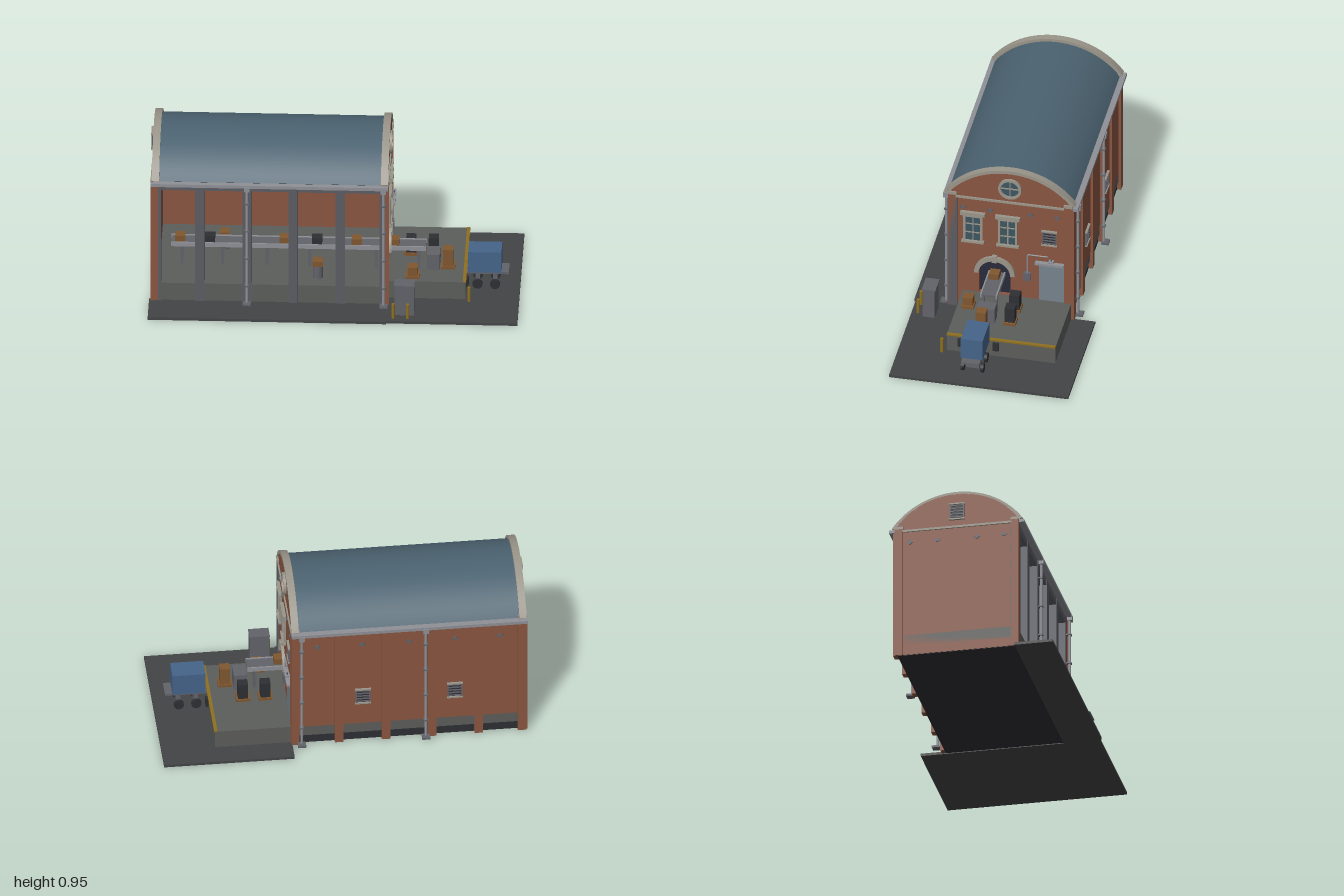
import * as THREE from 'three';

const C = {
  brick: 0x8a5540, stone: 0x9a958a, slate: 0x4b6270, metal: 0x8e9096, steel: 0x62636a, dark: 0x2e2f34,
  ground: 0x434446, plinth: 0x5c5e5b, glass: 0x3c5560, blue: 0x45648a, yellow: 0x8f7020, crate: 0x80572f,
  pale: 0x76828c, navy: 0x2a2b3a, column: 0x5b5d64,
};
const mats = {};
const mat = (c) => (mats[c] ??= new THREE.MeshStandardMaterial({ color: C[c] }));

function add(parent, name, geo, color, x = 0, y = 0, z = 0) {
  const m = new THREE.Mesh(geo, mat(color));
  m.name = name;
  m.position.set(x, y, z);
  parent.add(m);
  return m;
}
// Box given by its limits on each axis
function box(parent, name, color, x0, x1, y0, y1, z0, z1) {
  return add(parent, name, new THREE.BoxGeometry(x1 - x0, y1 - y0, z1 - z0), color, (x0 + x1) / 2, (y0 + y1) / 2, (z0 + z1) / 2);
}
const cyl = (parent, name, color, r, h, x, y, z, n = 16) => add(parent, name, new THREE.CylinderGeometry(r, r, h, n), color, x, y, z);
// Extrude a shape drawn in (-z, y) along x
function ext(parent, name, color, shape, x0, x1) {
  const g = new THREE.ExtrudeGeometry(shape, { depth: x1 - x0, bevelEnabled: false, curveSegments: 32 });
  g.rotateY(Math.PI / 2);
  return add(parent, name, g, color, x0);
}
// Curved band from angle a to PI - a
function band(parent, name, color, z, y, r0, r1, a, x0, x1) {
  const s = new THREE.Shape();
  s.absarc(-z, y, r1, a, Math.PI - a, false);
  s.absarc(-z, y, r0, Math.PI - a, a, true);
  s.closePath();
  return ext(parent, name, color, s, x0, x1);
}
function archPath(P, z, y0, y1, r) {
  const p = new P();
  p.moveTo(-z - r, y0);
  p.lineTo(-z + r, y0);
  p.absarc(-z, y1, r, 0, Math.PI, false);
  p.closePath();
  return p;
}
// Group for wall fittings, built facing +z
function fitting(parent, name, x, y, z, turn) {
  const g = new THREE.Group();
  g.name = name;
  g.position.set(x, y, z);
  g.rotation.y = turn;
  parent.add(g);
  return g;
}
function vent(parent, x, y, z, turn) {
  const g = fitting(parent, 'louvreVent', x, y, z, turn);
  box(g, 'ventBack', 'dark', -0.037, 0.037, -0.045, 0.045, -0.005, 0.004);
  for (let i = 0; i < 5; i++) box(g, 'ventSlat', 'steel', -0.035, 0.035, -0.036 + i * 0.017, -0.03 + i * 0.017, 0, 0.009);
  for (const s of [-1, 1]) {
    box(g, 'ventLedge', 'stone', -0.043, 0.043, s * 0.045 - 0.004, s * 0.045 + 0.004, 0, 0.013);
    box(g, 'ventSide', 'steel', s * 0.037 - 0.003, s * 0.037 + 0.003, -0.045, 0.045, 0, 0.01);
  }
}
function anchor(parent, x, y, z, turn) {
  const g = fitting(parent, 'wallAnchor', x, y, z, turn);
  cyl(g, 'anchorDisc', 'steel', 0.012, 0.012, 0, 0, 0, 12).rotation.x = Math.PI / 2;
  const d = cyl(g, 'anchorPlate', 'steel', 0.018, 0.008, 0, 0, 0, 4);
  d.rotation.x = Math.PI / 2;
  d.scale.z = 0.6;
}
function sashWindow(parent, y, z) {
  const g = fitting(parent, 'sashWindow', 0.29, y, z, Math.PI / 2);
  box(g, 'glass', 'glass', -0.047, 0.047, -0.082, 0.082, -0.004, 0.004);
  for (const s of [-1, 1]) box(g, 'jamb', 'stone', s * 0.047 - 0.006, s * 0.047 + 0.006, -0.085, 0.085, 0, 0.012);
  box(g, 'mullion', 'stone', -0.003, 0.003, -0.082, 0.082, 0, 0.008);
  for (const t of [-0.028, 0.028]) box(g, 'glazingBar', 'stone', -0.045, 0.045, t - 0.003, t + 0.003, 0, 0.008);
  box(g, 'topRail', 'stone', -0.056, 0.056, 0.076, 0.09, 0, 0.014);
  box(g, 'header', 'stone', -0.068, 0.068, 0.088, 0.108, 0, 0.02);
  box(g, 'sill', 'stone', -0.062, 0.062, -0.092, -0.08, 0, 0.02);
}
function downpipe(parent, x, z, side) {
  const g = fitting(parent, 'downpipe', x, 0, z, side > 0 ? 0 : Math.PI);
  cyl(g, 'pipe', 'metal', 0.008, 0.72, 0, 0.38, 0);
  box(g, 'hopper', 'metal', -0.015, 0.015, 0.715, 0.745, -0.012, 0.016);
  for (const y of [0.125, 0.295, 0.465, 0.635]) box(g, 'clamp', 'steel', -0.012, 0.012, y - 0.004, y + 0.004, -0.016, 0.01);
  box(g, 'drain', 'steel', -0.022, 0.022, 0.012, 0.024, -0.01, 0.03);
}
function crate(parent, x, y, z, w, h, color = 'crate') {
  box(parent, 'crate', color, x - w / 2, x + w / 2, y, y + h, z - w / 2, z + w / 2);
}

export function createModel() {
  const root = new THREE.Group();
  root.name = 'warehouse';
  const ZC = -0.03, YC = 0.507, colX = [-0.96, -0.725, -0.47, -0.22, 0.035, 0.273];

  // Ground, plinth and floor
  box(root, 'yard', 'ground', 0.29, 1, 0, 0.015, -0.5, 0.49);
  box(root, 'apron', 'ground', -1, 0.29, 0, 0.015, 0.29, 0.5);
  box(root, 'base', 'dark', -0.982, 0.288, 0.003, 0.06, -0.36, 0.295);
  box(root, 'floor', 'plinth', -0.985, 0.288, 0.055, 0.12, -0.368, 0.3);
  box(root, 'frontPlinth', 'plinth', -0.985, 0.288, 0.015, 0.12, 0.29, 0.302);

  // Gable walls, copings and trims
  const wallShape = () => {
    const s = new THREE.Shape(), a = Math.acos(0.34 / 0.43);
    s.moveTo(-0.31, 0.005);
    s.lineTo(0.37, 0.005);
    s.absarc(-ZC, YC, 0.43, a, Math.PI - a, false);
    s.closePath();
    return s;
  };
  const front = wallShape();
  front.holes.push(archPath(THREE.Path, 0.055, 0.12, 0.255, 0.087));
  ext(root, 'dockGable', 'brick', front, 0.26, 0.29);
  ext(root, 'rearGable', 'brick', wallShape(), -0.985, -0.95);
  for (const [xa, xb, out, turn] of [[0.255, 0.295, 0.29, Math.PI / 2], [-0.985, -0.945, -0.985, -Math.PI / 2]]) {
    band(root, 'coping', 'stone', ZC, YC, 0.424, 0.443, Math.acos(0.36 / 0.443), xa, xb);
    box(root, 'beltCourse', 'stone', out - 0.008, out + 0.008, 0.735, 0.747, -0.33, 0.272);
    for (const z of [0.29, -0.352]) {
      box(root, 'cornerPier', 'brick', out - 0.006, out + 0.008, 0.005, 0.755, z - 0.022, z + 0.022);
      box(root, 'pierCap', 'stone', xa - 0.005, xb + 0.005, 0.752, 0.77, z - 0.025, z + 0.025);
    }
    for (const z of [0.23, 0.08, -0.14, -0.29]) anchor(root, out, 0.673, z, turn);
  }
  vent(root, -0.987, 0.83, ZC, -Math.PI / 2);

  // Barrel roof
  band(root, 'roof', 'slate', ZC, YC, 0.413, 0.426, Math.acos(0.345 / 0.426), -0.955, 0.265);

  // Back wall with piers, vents and anchors
  box(root, 'backWall', 'brick', -0.985, 0.288, 0.115, 0.75, -0.37, -0.345);
  colX.forEach((x, i) => {
    box(root, 'backPier', 'brick', x - 0.023, x + 0.023, 0.005, 0.735, -0.384, -0.36);
    box(root, 'frontColumn', 'column', x - 0.025, x + 0.025, 0.015, 0.735, 0.262, 0.31);
    if (i < 5) anchor(root, (x + colX[i + 1]) / 2, 0.645, -0.371, Math.PI);
  });
  for (const x of [-0.595, -0.095]) vent(root, x, 0.3, -0.371, Math.PI);

  // Eaves beam, gutters and downpipes
  box(root, 'eavesBeam', 'column', -0.985, 0.29, 0.7, 0.755, 0.265, 0.308);
  box(root, 'frontGutter', 'metal', -0.99, 0.295, 0.735, 0.753, 0.305, 0.34);
  box(root, 'backGutter', 'metal', -0.99, 0.295, 0.735, 0.753, -0.405, -0.37);
  for (const x of [-0.47, 0.27]) downpipe(root, x, 0.327, 1);
  for (const x of [-0.435, 0.24]) downpipe(root, x, -0.394, -1);

  // Dock gable windows and vent
  sashWindow(root, 0.543, 0.175);
  sashWindow(root, 0.543, -0.018);
  vent(root, 0.29, 0.535, -0.247, Math.PI / 2);
  band(root, 'roundFrame', 'stone', ZC, 0.834, 0.05, 0.064, -Math.PI / 2, 0.285, 0.305);
  const pane = cyl(root, 'roundGlass', 'glass', 0.052, 0.012, 0.288, 0.834, ZC, 32);
  pane.rotation.z = Math.PI / 2;
  box(root, 'roundBar', 'stone', 0.288, 0.299, 0.831, 0.837, -0.08, 0.02);
  box(root, 'roundBar', 'stone', 0.288, 0.299, 0.784, 0.884, -0.033, -0.027);

  // Arched doorway
  ext(root, 'doorwayDark', 'navy', archPath(THREE.Shape, 0.055, 0.12, 0.255, 0.088), 0.262, 0.268);
  band(root, 'doorArch', 'stone', 0.055, 0.255, 0.087, 0.113, 0, 0.28, 0.306);
  box(root, 'keystone', 'stone', 0.285, 0.312, 0.337, 0.378, 0.042, 0.068);

  // Side door, lamp, conduit and switch box
  box(root, 'shutterDoor', 'pale', 0.285, 0.297, 0.12, 0.362, -0.33, -0.19);
  box(root, 'doorHood', 'metal', 0.285, 0.315, 0.36, 0.374, -0.33, -0.17);
  box(root, 'lamp', 'metal', 0.285, 0.318, 0.382, 0.392, -0.273, -0.245);
  cyl(root, 'lampStem', 'steel', 0.004, 0.02, 0.305, 0.395, -0.259, 8);
  const V = (y, z) => new THREE.Vector3(0.3, y, z);
  const conduit = new THREE.CurvePath();
  conduit.add(new THREE.LineCurve3(V(0.29, -0.127), V(0.403, -0.127)));
  conduit.add(new THREE.QuadraticBezierCurve3(V(0.403, -0.127), V(0.413, -0.127), V(0.413, -0.137)));
  conduit.add(new THREE.LineCurve3(V(0.413, -0.137), V(0.413, -0.24)));
  add(root, 'conduit', new THREE.TubeGeometry(conduit, 60, 0.004, 8), 'metal');
  box(root, 'switchBox', 'steel', 0.288, 0.312, 0.245, 0.293, -0.146, -0.106);

  // Loading dock
  box(root, 'dock', 'plinth', 0.288, 0.71, 0.012, 0.118, -0.368, 0.232);
  box(root, 'dockEdge', 'yellow', 0.695, 0.713, 0.113, 0.122, -0.368, 0.232);
  for (const z of [0.153, -0.04]) box(root, 'dockBumper', 'dark', 0.708, 0.724, 0.055, 0.105, z - 0.017, z + 0.017);
  for (const [x, z] of [[0.73, 0.255], [0.327, 0.455], [0.405, 0.455]]) cyl(root, 'bollard', 'yellow', 0.009, 0.09, x, 0.057, z);
  box(root, 'utilityCabinet', 'steel', 0.333, 0.438, 0.01, 0.193, 0.356, 0.424);
  box(root, 'cabinetTop', 'steel', 0.33, 0.441, 0.192, 0.198, 0.352, 0.428);

  // Conveyor running out through the arch
  box(root, 'conveyorBelt', 'steel', -0.885, 0.49, 0.238, 0.25, 0.008, 0.087);
  for (const z of [0.004, 0.09]) box(root, 'conveyorRail', 'metal', -0.89, 0.492, 0.23, 0.255, z - 0.004, z + 0.004);
  for (const x of [-0.83, -0.61, -0.37, -0.14, 0.22, 0.45])
    for (const z of [0.012, 0.082]) box(root, 'conveyorLeg', 'steel', x - 0.008, x + 0.008, 0.118, 0.235, z - 0.006, z + 0.006);
  for (const [x, c] of [[-0.84, 'crate'], [-0.68, 'dark'], [-0.275, 'crate'], [-0.1, 'dark'], [0.115, 'crate'], [0.317, 'crate']])
    crate(root, x, 0.25, 0.05, 0.055, 0.035, c);

  // Drums with crates beside the conveyor
  for (const [x, z] of [[-0.605, -0.1], [-0.09, 0.2]]) {
    cyl(root, 'drum', 'steel', 0.028, 0.075, x, 0.157, z, 20);
    crate(root, x, 0.194, z, 0.055, 0.032);
  }

  // Goods on the dock
  for (const [x, z, w, h, c] of [[0.405, -0.082, 0.055, 0.09, 'dark'], [0.527, -0.082, 0.055, 0.09, 'dark'],
    [0.422, 0.172, 0.055, 0.048, 'crate'], [0.61, 0.06, 0.055, 0.1, 'crate']]) {
    box(root, 'pallet', 'crate', x - 0.038, x + 0.038, 0.118, 0.134, z - 0.034, z + 0.034);
    crate(root, x, 0.134, z, w, h, c);
  }
  box(root, 'weighingCabinet', 'steel', 0.495, 0.565, 0.118, 0.21, 0, 0.1);

  // Cart with load
  const cart = new THREE.Group();
  cart.name = 'cart';
  root.add(cart);
  box(cart, 'cartBed', 'steel', 0.71, 0.94, 0.102, 0.115, 0.004, 0.106);
  box(cart, 'cartLoad', 'blue', 0.72, 0.9, 0.115, 0.24, -0.006, 0.115);
  for (const x of [0.77, 0.865]) {
    box(cart, 'axleBlock', 'steel', x - 0.012, x + 0.012, 0.04, 0.104, 0.018, 0.092);
    for (const z of [0.001, 0.109]) cyl(cart, 'wheel', 'dark', 0.027, 0.017, x, 0.042, z, 20).rotation.x = Math.PI / 2;
  }
  return root;
}
